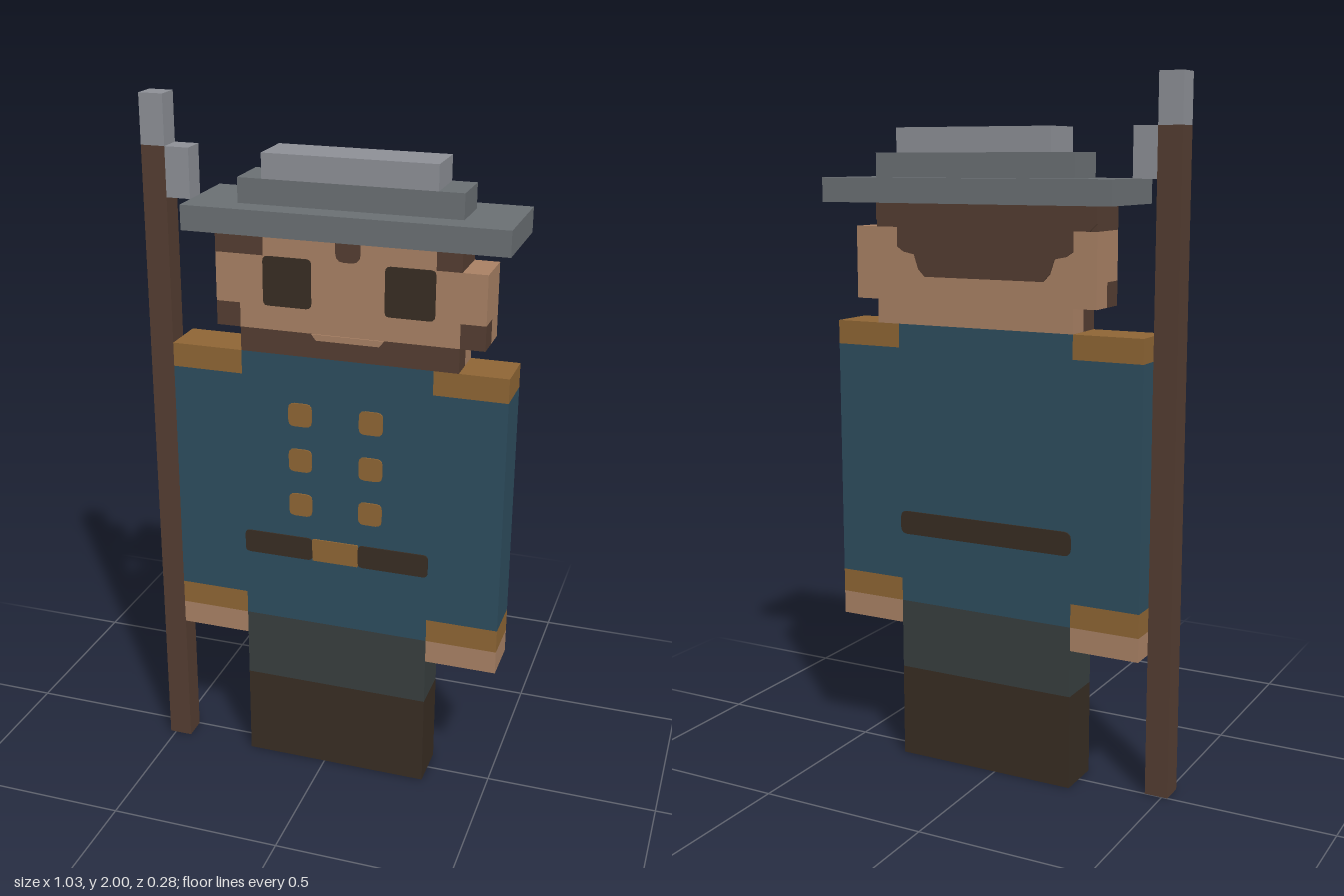
import * as THREE from 'three';

const U = 2 / 29; // one block; the figure is 29 blocks tall
const T = 0.004; // thickness of painted details

function makeMaterials() {
  const colours = {
    skin: 0xaa8265, hair: 0x553e32, coat: 0x2e4e5f, gold: 0x8f6635, leather: 0x382d23,
    trousers: 0x383f3f, hatGrey: 0x6b7074, steel: 0x8e9197,
  };
  const mats = {};
  for (const [name, color] of Object.entries(colours)) {
    mats[name] = new THREE.MeshStandardMaterial({ color });
    mats[name].name = name;
  }
  return mats;
}

export function createModel() {
  const model = new THREE.Group();
  model.name = 'guard';
  const m = makeMaterials();

  function add(name, geometry, material) {
    const mesh = new THREE.Mesh(geometry, material);
    mesh.name = name;
    model.add(mesh);
    return mesh;
  }

  // Block given by its limits, in block units
  function block(name, mat, x0, x1, y0, y1, z0 = -1, z1 = 1) {
    const geo = new THREE.BoxGeometry((x1 - x0) * U, (y1 - y0) * U, (z1 - z0) * U);
    add(name, geo, mat).position.set((x0 + x1) * U / 2, (y0 + y1) * U / 2, (z0 + z1) * U / 2);
  }

  // Thin plate from an outline, on the front or the back
  function plate(name, mat, shape, back = false) {
    const geo = new THREE.ExtrudeGeometry(shape, { depth: T, bevelEnabled: false, curveSegments: 3 });
    add(name, geo, mat).position.z = back ? -U - T : U;
  }

  function roundedRect(x0, x1, y0, y1, r) {
    [x0, x1, y0, y1, r] = [x0, x1, y0, y1, r].map((v) => v * U);
    const s = new THREE.Shape();
    s.moveTo(x0 + r, y0);
    s.lineTo(x1 - r, y0);
    s.quadraticCurveTo(x1, y0, x1, y0 + r);
    s.lineTo(x1, y1 - r);
    s.quadraticCurveTo(x1, y1, x1 - r, y1);
    s.lineTo(x0 + r, y1);
    s.quadraticCurveTo(x0, y1, x0, y1 - r);
    s.lineTo(x0, y0 + r);
    s.quadraticCurveTo(x0, y0, x0 + r, y0);
    return s;
  }

  function outline(points) {
    return new THREE.Shape(points.map(([x, y]) => new THREE.Vector2(x * U, y * U)));
  }

  // Legs and coat
  block('boots', m.leather, -3.5, 4.5, 0, 4);
  block('trousers', m.trousers, -3.5, 4.5, 4, 7);
  block('torso', m.coat, -3.5, 4.5, 7, 19);

  // Arms
  for (const [side, x0, x1] of [['right', -6.5, -3.5], ['left', 4.5, 7.5]]) {
    block(side + 'Hand', m.skin, x0, x1, 6, 7);
    block(side + 'Cuff', m.gold, x0, x1, 7, 8);
    block(side + 'Sleeve', m.coat, x0, x1, 8, 18);
    block(side + 'Epaulette', m.gold, x0, x1, 18, 19);
  }

  // Belt, buckle and buttons
  plate('beltRight', m.leather, roundedRect(-3.5, -0.5, 10, 11, 0.2));
  plate('beltLeft', m.leather, roundedRect(1.5, 4.5, 10, 11, 0.2));
  plate('buckle', m.gold, roundedRect(-0.5, 1.5, 10, 11, 0.05));
  plate('beltBack', m.leather, roundedRect(-3.5, 4.5, 10, 11, 0.3), true);
  for (const x of [-1.5, 1.5]) {
    for (const y of [12, 14, 16]) plate('button', m.gold, roundedRect(x, x + 1, y, y + 1, 0.25));
  }

  // Head, with beard and sideburns on the front half
  block('beard', m.hair, -3.5, 5.5, 19, 20, 0, 1);
  block('nape', m.skin, -3.5, 5.5, 19, 20, -1, 0);
  block('jaw', m.skin, -3.5, 5.5, 20, 21);
  for (const [side, x] of [['right', -4.5], ['left', 5.5]]) {
    block(side + 'Sideburn', m.hair, x, x + 1, 20, 21, 0, 1);
    block(side + 'Cheek', m.skin, x, x + 1, 20, 21, -1, 0);
  }
  block('face', m.skin, -4.5, 6.5, 21, 23);
  block('forehead', m.skin, -2.5, 4.5, 23, 24);
  block('rightTemple', m.hair, -4.5, -2.5, 23, 24);
  block('leftTemple', m.hair, 4.5, 5.5, 23, 24);
  for (const x of [-2.5, 2.5]) plate('eye', m.leather, roundedRect(x, x + 2, 21, 23, 0.2));
  plate('forelock', m.hair, roundedRect(0.5, 1.5, 23, 24.5, 0.35));
  plate('mouth', m.skin, outline([[-0.3, 19.75], [2.3, 19.75], [2.5, 20], [-0.5, 20]]));
  plate('backHair', m.hair, outline([
    [-4.5, 24.3], [-4.5, 23.3], [-4.2, 23], [-3.5, 23], [-3.5, 22.2], [-3.2, 22], [-2.7, 21.9],
    [-2.5, 21.3], [-2.2, 21], [3.2, 21], [3.5, 21.3], [3.7, 21.9], [4.2, 22], [4.5, 22.2],
    [4.5, 23], [5.2, 23], [5.5, 23.3], [5.5, 24.3],
  ]), true);

  // Stepped hat
  block('hatBrim', m.hatGrey, -5.5, 7.5, 24, 25, -2, 2);
  block('hatBand', m.hatGrey, -3.5, 5.5, 25, 26);
  block('hatCrown', m.steel, -2.5, 4.5, 26, 27);

  // Polearm beside the right arm
  block('poleShaft', m.hair, -7.5, -6.5, 0, 27, 0, 1);
  block('poleTip', m.steel, -7.5, -6.5, 27, 29, 0, 1);
  block('poleBlade', m.steel, -6.5, -5.5, 25, 27, 0, 1);

  return model;
}
